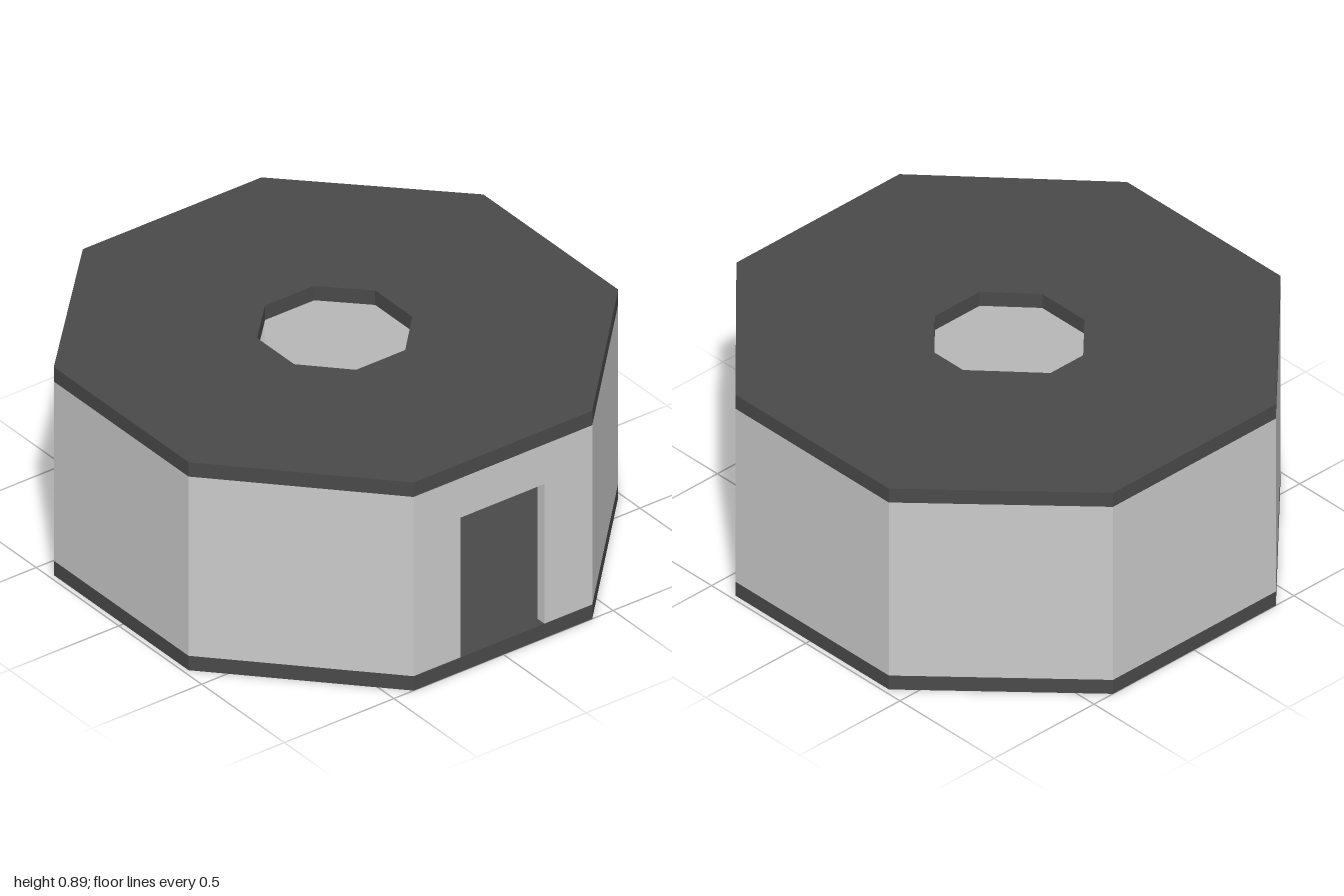
import * as THREE from 'three';

// Eight-sided plan as [x, z], from the front right corner round to the front left one
const outline = [
  [0.405, 1], [0.98, 0.395], [0.98, -0.42], [0.405, -1],
  [-0.41, -1], [-0.98, -0.42], [-0.98, 0.395], [-0.41, 1],
];
const slab = 0.062, height = 0.895, inset = 0.957;

const toPoints = (plan) => plan.map(([x, z]) => new THREE.Vector2(x, -z));
const scaled = (plan, s, cz = 0) => plan.map(([x, z]) => [x * s, cz + (z - cz) * s]);

function material(color) {
  return new THREE.MeshStandardMaterial({ color, flatShading: true });
}

// Raises a plan shape from y0 to y1
function raise(name, shape, y0, y1, mat) {
  const geometry = new THREE.ExtrudeGeometry(shape, { depth: y1 - y0, bevelEnabled: false });
  geometry.rotateX(-Math.PI / 2).translate(0, y0, 0);
  const mesh = new THREE.Mesh(geometry, mat);
  mesh.name = name;
  return mesh;
}

export function createModel() {
  const group = new THREE.Group();
  group.name = 'octagonalRoom';
  const dark = material(0x4a4a4a);
  const grey = material(0xcccccc);

  // Solid floor slab
  group.add(raise('floor', new THREE.Shape(toPoints(outline)), 0, slab, dark));

  // Roof slab with an eight-sided skylight
  const roof = new THREE.Shape(toPoints(outline));
  const skylight = scaled(outline, 0.275).map(([x, z]) => [x, z - 0.017]);
  roof.holes.push(new THREE.Path(toPoints(skylight)));
  group.add(raise('roof', roof, height - slab, height, dark));

  // Seven plain walls as one thin band, open at the front
  const inner = scaled(outline, inset);
  const band = new THREE.Shape(toPoints([...outline, ...inner.reverse()]));
  group.add(raise('walls', band, slab, height - slab, grey));

  // Front wall with a doorway down to the floor
  const top = height - slab, doorTop = 0.663;
  const front = new THREE.Shape([
    [-0.41, slab], [-0.195, slab], [-0.195, doorTop], [0.187, doorTop],
    [0.187, slab], [0.405, slab], [0.405, top], [-0.41, top],
  ].map(([x, y]) => new THREE.Vector2(x, y)));
  const geometry = new THREE.ExtrudeGeometry(front, { depth: 1 - inset, bevelEnabled: false });
  geometry.translate(0, 0, inset);
  const frontWall = new THREE.Mesh(geometry, grey);
  frontWall.name = 'frontWall';
  group.add(frontWall);

  return group;
}
